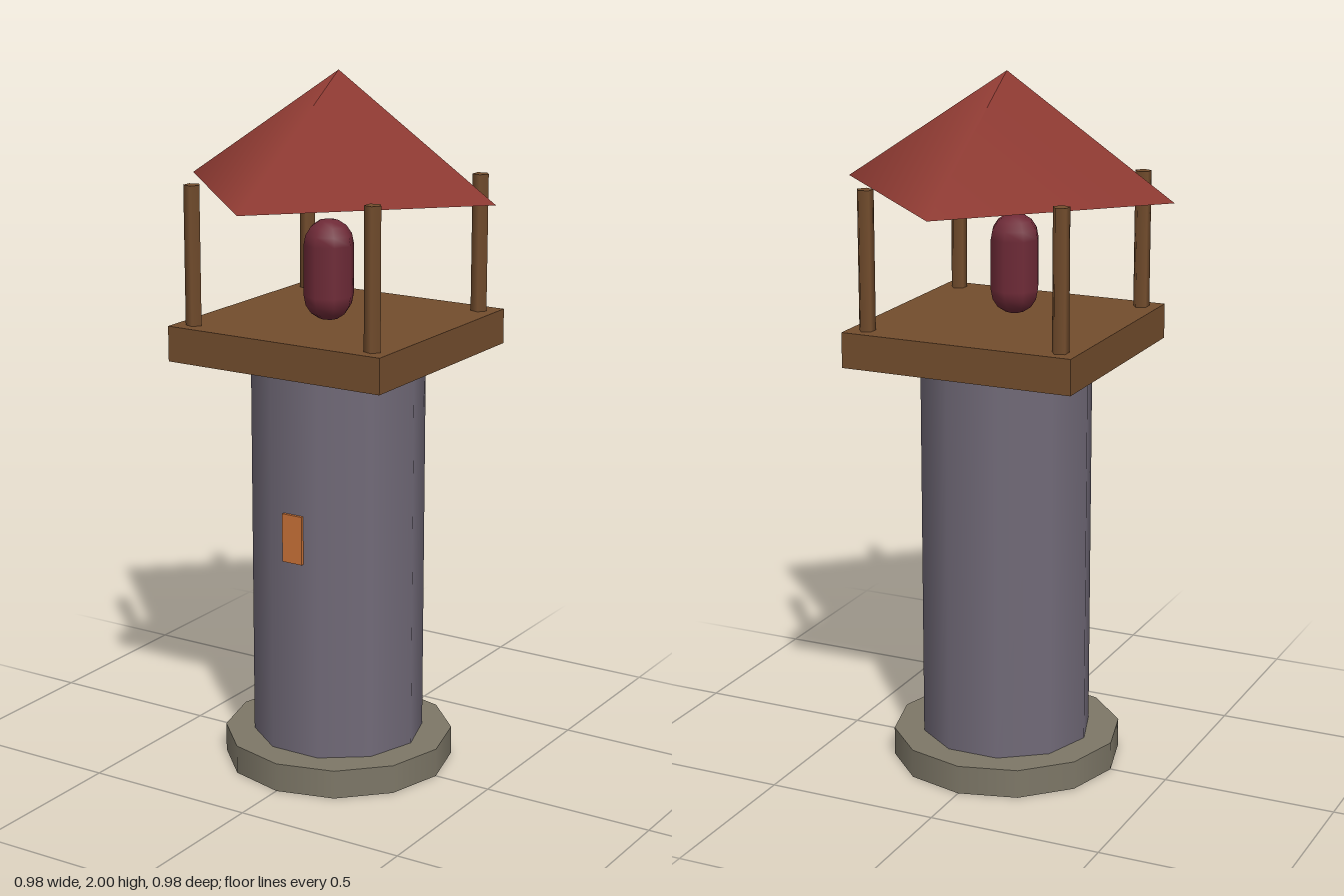
import * as THREE from 'three';

const paint = (name, color) => {
  const m = new THREE.MeshStandardMaterial({ color });
  m.name = name;
  return m;
};

export function createModel() {
  const group = new THREE.Group();
  const stone = paint('foundation stone', 0x7d7767);
  const wall = paint('tower stone', 0x716a78);
  const wood = paint('wood', 0x734d2d);
  const tiles = paint('roof red', 0x8e3a32);
  const cloth = paint('lookout crimson', 0x6e2a37);
  const glow = paint('window orange', 0xc87137);

  const add = (name, geometry, material, x, y, z) => {
    const mesh = new THREE.Mesh(geometry, material);
    mesh.name = name;
    mesh.position.set(x, y, z);
    group.add(mesh);
    return mesh;
  };
  // Upright prism or cone from y0 to y1, first corner on +x
  const column = (name, rTop, rBottom, sides, y0, y1, material, x = 0, z = 0) =>
    add(name, new THREE.CylinderGeometry(rTop, rBottom, y1 - y0, sides).rotateY(Math.PI / 2),
      material, x, (y0 + y1) / 2, z);

  // Foundation and shaft
  column('foundation', 0.33, 0.33, 12, 0, 0.083, stone);
  column('towerShaft', 0.246, 0.246, 10, 0.083, 1.21, wall);
  add('window', new THREE.BoxGeometry(0.064, 0.14, 0.009), glow, 0, 0.725, 0.239);

  // Lookout platform with a post near each corner
  add('platform', new THREE.BoxGeometry(0.68, 0.1, 0.68), wood, 0, 1.26, 0);
  for (const x of [-0.288, 0.288])
    for (const z of [-0.288, 0.288])
      column('roofPost', 0.024, 0.024, 5, 1.31, 1.7, wood, x, z);

  // Rounded figure standing on the platform
  add('lookout', new THREE.CapsuleGeometry(0.071, 0.143, 4, 8), cloth, 0, 1.456, 0.051);

  // Four-sided roof, corners on the axes
  const roof = new THREE.ConeGeometry(0.492, 0.325, 4);
  add('roof', roof, tiles, 0, 1.8375, 0);
  return group;
}
